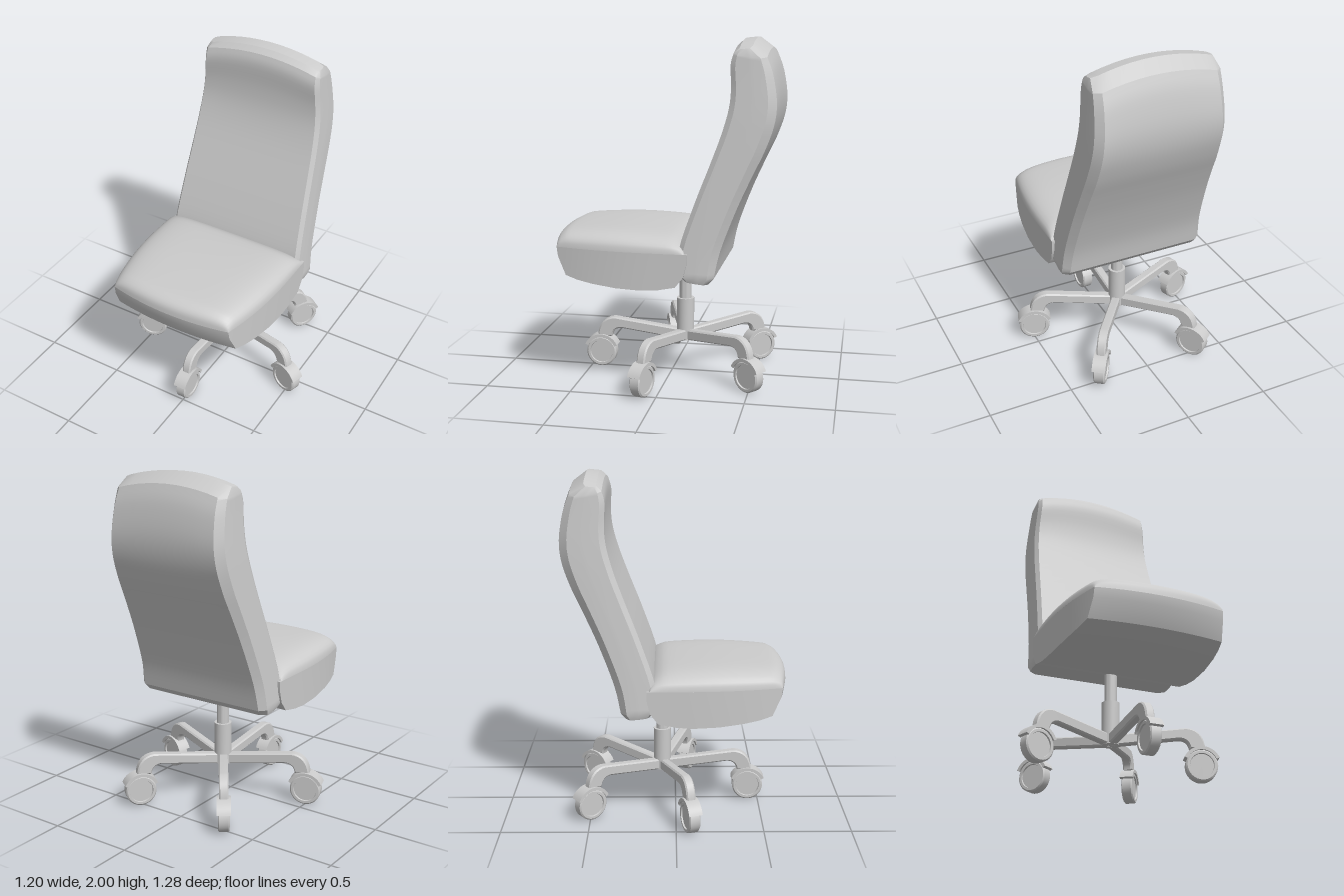
import * as THREE from 'three';
import { toCreasedNormals } from 'three/addons/utils/BufferGeometryUtils.js';

const material = new THREE.MeshStandardMaterial({ color: 0xcccccc });

function mesh(name, geometry, crease = 0.6) {
  const m = new THREE.Mesh(toCreasedNormals(geometry, crease), material);
  m.name = name;
  return m;
}

// Closed loft through rings of [x, y, z]; each end is capped by joining ring[i] to ring[n - 1 - i].
function loft(rings) {
  const n = rings[0].length, tris = [];
  const quad = (a, b, c, d) => tris.push([a, b, c], [a, c, d]);
  for (let r = 0; r < rings.length - 1; r++) {
    for (let i = 0; i < n; i++) {
      const j = (i + 1) % n;
      quad(rings[r][i], rings[r][j], rings[r + 1][j], rings[r + 1][i]);
    }
  }
  const first = rings[0], last = rings[rings.length - 1];
  for (let i = 0; i < n / 2 - 1; i++) {
    quad(first[i], first[n - 1 - i], first[n - 2 - i], first[i + 1]);
    quad(last[i], last[i + 1], last[n - 2 - i], last[n - 1 - i]);
  }
  // turn the faces outward if the enclosed volume is negative
  let volume = 0;
  const [a, b, c] = [0, 1, 2].map(() => new THREE.Vector3());
  for (const t of tris) volume += a.fromArray(t[0]).dot(b.fromArray(t[1]).cross(c.fromArray(t[2])));
  if (volume < 0) tris.forEach((t) => t.reverse());
  const geometry = new THREE.BufferGeometry();
  geometry.setAttribute('position', new THREE.Float32BufferAttribute(tris.flat(2), 3));
  return geometry;
}

// Seat half: a side profile of [z, y] swept across the width, closed at the seam height.
const SEAM = 0.82;
const seatHalfWidth = (z) => 0.455 - 0.075 * (Math.max(0, z - 0.05) / 0.6) ** 2;

function seatPart(profile, heightAt) {
  const rings = [];
  for (let k = -14; k <= 14; k++) {
    const t = Math.sin((k / 14) * Math.PI / 2);
    const place = (z, y) => [
      t * seatHalfWidth(z),
      SEAM + (y - SEAM) * heightAt(t),
      z - 0.045 * t * t * Math.max(0, z / 0.65) ** 2,
    ];
    rings.push([
      ...profile.map(([z, y]) => place(z, y)),
      ...profile.map(([z]) => place(z, SEAM)).reverse(),
    ]);
  }
  return loft(rings);
}

// Spline through 2D points given as [z, y]
function smoothProfile(points, count) {
  const curve = new THREE.SplineCurve(points.map((p) => new THREE.Vector2(...p)));
  return curve.getPoints(count).map((p) => [p.x, p.y]);
}

function backrest() {
  // front and rear edges of the slab, from bottom to top
  const front = [[-0.12, 0.69], [-0.115, 0.84], [-0.2, 1.1], [-0.28, 1.31], [-0.345, 1.49],
    [-0.38, 1.63], [-0.39, 1.76], [-0.385, 1.9], [-0.4, 1.965]];
  const rear = [[-0.31, 0.68], [-0.345, 0.84], [-0.43, 1.07], [-0.51, 1.25], [-0.58, 1.4],
    [-0.625, 1.54], [-0.637, 1.68], [-0.615, 1.84], [-0.58, 1.94]];
  const f = [[-0.15, 0.66], ...smoothProfile(front, 32), [-0.43, 1.993]];
  const b = [[-0.28, 0.645], ...smoothProfile(rear, 32), [-0.5, 2.0]];
  const rings = f.map((pf, s) => {
    const pb = b[s];
    const y0 = (pf[1] + pb[1]) / 2;
    const end = s === 0 || s === f.length - 1;
    const w = 0.44 - 0.07 * (y0 - 0.8) / 1.14 - (end ? 0.012 : 0);
    const arch = 0.055 * THREE.MathUtils.smoothstep(y0, 1.45, 1.93);
    const at = (x, d) => [
      x,
      THREE.MathUtils.lerp(pf[1], pb[1], d) - arch * (x / w) ** 2,
      THREE.MathUtils.lerp(pf[0], pb[0], d),
    ];
    // half a cross-section from one side to the other
    const half = (edge, dMid, dSide, dFace) => {
      const pts = [at(-w, dMid), at(-w + 0.003, dSide)];
      for (let i = -5; i <= 5; i++) pts.push(at((w - edge) * i / 5, dFace));
      pts.push(at(w - 0.003, dSide), at(w, dMid));
      return pts;
    };
    return [...half(0.022, 0.45, 0.12, 0), ...half(0.04, 0.55, 0.82, 1).reverse()];
  });
  return loft(rings);
}

function extrudeCentred(shape, depth, bevel = 0) {
  return new THREE.ExtrudeGeometry(shape, {
    depth: depth - 2 * bevel, curveSegments: 10, bevelEnabled: bevel > 0,
    bevelSize: bevel, bevelThickness: bevel, bevelOffset: -bevel, bevelSegments: 1,
  }).translate(0, 0, -depth / 2 + bevel);
}

// One leg along +x with its caster
function createLeg() {
  const leg = new THREE.Group();
  leg.name = 'leg';

  const arm = new THREE.Shape();
  arm.moveTo(0, 0.195);
  arm.lineTo(0.39, 0.245);
  arm.quadraticCurveTo(0.445, 0.245, 0.452, 0.19);
  arm.lineTo(0.54, 0.19);
  arm.bezierCurveTo(0.535, 0.27, 0.495, 0.31, 0.43, 0.312);
  arm.lineTo(0, 0.258);
  leg.add(mesh('legArm', extrudeCentred(arm, 0.054, 0.008)));

  const fender = new THREE.Shape();
  fender.absarc(0, 0, 0.109, 0.42, Math.PI - 0.42, false);
  fender.absarc(0, 0, 0.09, Math.PI - 0.42, 0.42, true);
  const cover = mesh('casterCover', extrudeCentred(fender, 0.08));

  const rim = [[0, 0.024], [0.068, 0.024], [0.07, 0.033], [0.084, 0.033], [0.092, 0.026]];
  const outline = [...rim.map(([r, h]) => [r, -h]), ...rim.slice().reverse()];
  const wheel = mesh('casterWheel',
    new THREE.LatheGeometry(outline.map((p) => new THREE.Vector2(...p)), 32).rotateX(Math.PI / 2));

  for (const part of [cover, wheel]) {
    part.position.set(0.517, 0.093, 0);
    leg.add(part);
  }
  return leg;
}

export function createModel() {
  const chair = new THREE.Group();
  chair.name = 'officeChair';

  // seat shell below the seam
  const shell = [[0.645, 0.82], [0.635, 0.765], [0.58, 0.66], [0.5, 0.64], [0.4, 0.625], [0.25, 0.61],
    [0.1, 0.605], [0, 0.612], [-0.1, 0.632], [-0.145, 0.69], [-0.163, 0.76], [-0.165, 0.82]];
  chair.add(mesh('seatShell', seatPart(shell, () => 1), 0.5));

  // domed cushion above the seam
  const cushion = smoothProfile([[0.645, 0.82], [0.636, 0.868], [0.6, 0.9], [0.53, 0.915], [0.25, 0.925],
    [-0.02, 0.912], [-0.1, 0.89], [-0.14, 0.855], [-0.15, 0.82]], 28);
  const dome = (t) => (1 - Math.min(1, Math.abs(t)) ** 6) ** 0.4 * (1 - 0.06 * t * t);
  chair.add(mesh('seatCushion', seatPart(cushion, dome), 0.9));

  chair.add(mesh('backrest', backrest(), 0.5));

  // five-legged base with gas-lift column
  const base = new THREE.Group();
  base.name = 'base';
  base.position.z = -0.08;
  const column = (name, radius, y0, y1) => {
    const part = mesh(name, new THREE.CylinderGeometry(radius, radius, y1 - y0, 28));
    part.position.y = (y0 + y1) / 2;
    base.add(part);
  };
  column('columnSleeve', 0.052, 0.2, 0.455);
  column('columnRod', 0.036, 0.45, 0.68);
  for (let i = 0; i < 5; i++) {
    const leg = createLeg();
    leg.rotation.y = -Math.PI / 2 + i * Math.PI * 2 / 5;
    base.add(leg);
  }
  chair.add(base);
  return chair;
}
